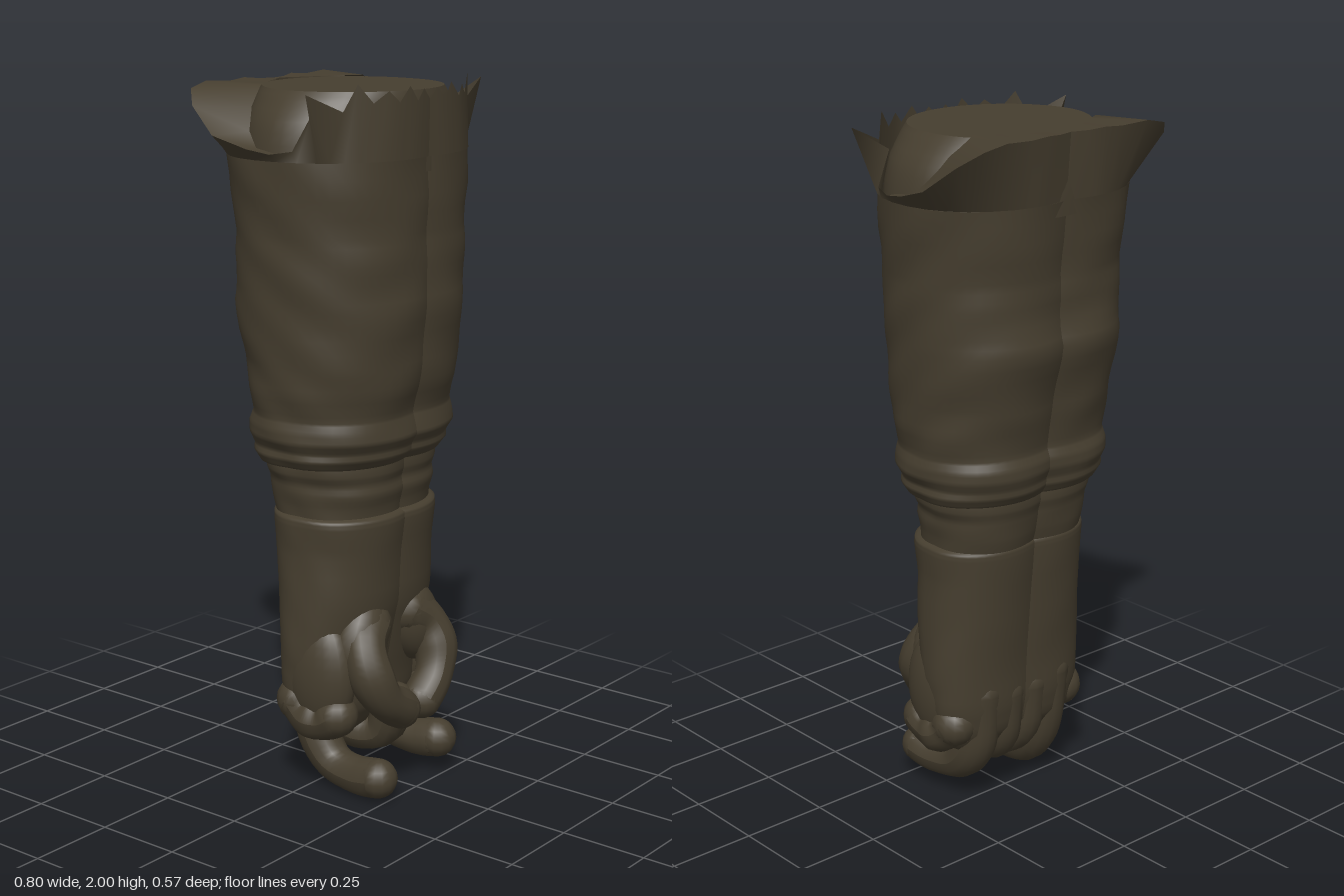
import * as THREE from 'three';
import { mergeGeometries } from 'three/addons/utils/BufferGeometryUtils.js';

const SEG = 48;

// Point on a row [y, half width, front z, back z] of one arm, shifted off centre by cx
function ringPoint([y, w, zf, zb], a, cx, wrinkle = 0) {
  const fold = 1 + wrinkle * Math.sin(y * 34 + 2.2 * Math.sin(a * 2) + a) * Math.sin(a * 3 + y * 5);
  const rx = (w - cx) * fold, rz = (zf - zb) / 2 * fold;
  const back = Math.max(0, -Math.sin(a)) * 0.025;
  return [cx + back + rx * Math.cos(a), y, (zf + zb) / 2 + rz * Math.sin(a)];
}

// Resample the rows in height
function refine(rows, n) {
  const out = [];
  for (let i = 0; i < rows.length - 1; i++) {
    for (let k = 0; k < n; k++) out.push(rows[i].map((v, j) => THREE.MathUtils.lerp(v, rows[i + 1][j], k / n)));
  }
  out.push(rows[rows.length - 1]);
  return out;
}

// Closed-ring loft from the bottom row to the top row, with optional end caps
function loft(rows, cx, wrinkle = 0, caps = [false, false]) {
  const pos = [], idx = [];
  rows.forEach(r => {
    for (let i = 0; i < SEG; i++) pos.push(...ringPoint(r, i / SEG * Math.PI * 2, cx, wrinkle));
  });
  for (let j = 0; j < rows.length - 1; j++) {
    for (let i = 0; i < SEG; i++) {
      const a = j * SEG + i, b = j * SEG + (i + 1) % SEG;
      idx.push(a, a + SEG, b, b, a + SEG, b + SEG);
    }
  }
  [0, rows.length - 1].forEach((j, end) => {
    if (!caps[end]) return;
    const [y, , zf, zb] = rows[j], c = pos.length / 3;
    // the cap has its own ring so its edge stays sharp
    pos.push(cx, y, (zf + zb) / 2);
    for (let i = 0; i < SEG; i++) pos.push(...ringPoint(rows[j], i / SEG * Math.PI * 2, cx, wrinkle));
    for (let i = 0; i < SEG; i++) {
      const a = c + 1 + i, b = c + 1 + (i + 1) % SEG;
      if (end) idx.push(c, b, a); else idx.push(c, a, b);
    }
  });
  return build(pos, idx);
}

function build(pos, idx) {
  const g = new THREE.BufferGeometry();
  g.setAttribute('position', new THREE.Float32BufferAttribute(pos, 3));
  g.setIndex(idx);
  g.computeVertexNormals();
  return g;
}

// Mirror in x, keeping faces outward
function mirror(g) {
  const m = g.clone().scale(-1, 1, 1), ix = m.index.array;
  for (let i = 0; i < ix.length; i += 3) [ix[i], ix[i + 1]] = [ix[i + 1], ix[i]];
  m.computeVertexNormals();
  return m;
}

// Rounded pad of flesh
function pad(size, tilt, at) {
  return new THREE.SphereGeometry(1, 24, 16).scale(...size).rotateZ(tilt).translate(...at);
}

// Bent finger with round ends, from radius r0 to r1, slightly swollen at the joints
function finger(points, r0, r1) {
  const curve = new THREE.CatmullRomCurve3(points.map(p => new THREE.Vector3(...p)));
  const radius = t => THREE.MathUtils.lerp(r0, r1, t) * (1 + 0.05 * Math.cos(t * 13));
  const tube = new THREE.TubeGeometry(curve, 20, 1, 14);
  const p = tube.attributes.position, v = new THREE.Vector3();
  for (let i = 0; i < p.count; i++) {
    const t = Math.floor(i / 15) / 20, c = curve.getPointAt(t);
    v.fromBufferAttribute(p, i).sub(c).multiplyScalar(radius(t)).add(c);
    p.setXYZ(i, v.x, v.y, v.z);
  }
  tube.computeVertexNormals();
  const ends = [0, 1].map(t => {
    const c = curve.getPointAt(t);
    return new THREE.SphereGeometry(radius(t), 14, 10).translate(c.x, c.y, c.z);
  });
  return mergeGeometries([tube, ...ends]);
}

// Rows: [y, half width, front z, back z]
const handRows = [
  [0.14, 0.12, 0.06, 0.0], [0.18, 0.19, 0.1, -0.05], [0.24, 0.235, 0.13, -0.085], [0.32, 0.257, 0.14, -0.1],
  [0.42, 0.264, 0.16, -0.102], [0.55, 0.26, 0.19, -0.115], [0.7, 0.252, 0.2, -0.13],
  [0.79, 0.258, 0.212, -0.14], [0.81, 0.256, 0.21, -0.14], [0.82, 0.235, 0.185, -0.13]];
const wristRows = [
  [0.78, 0.24, 0.19, -0.13], [0.84, 0.243, 0.195, -0.145], [0.88, 0.25, 0.205, -0.15],
  [0.91, 0.25, 0.2, -0.155], [0.94, 0.265, 0.21, -0.165], [0.99, 0.265, 0.21, -0.165]];
const sleeveRows = [
  [0.955, 0.25, 0.19, -0.15], [0.965, 0.29, 0.215, -0.175], [0.99, 0.305, 0.235, -0.19], [1.01, 0.3, 0.235, -0.19],
  [1.04, 0.316, 0.25, -0.2], [1.07, 0.314, 0.245, -0.2], [1.1, 0.305, 0.24, -0.19], [1.17, 0.32, 0.258, -0.2],
  [1.25, 0.322, 0.268, -0.215], [1.4, 0.333, 0.283, -0.252], [1.5, 0.337, 0.28, -0.235],
  [1.6, 0.342, 0.28, -0.238], [1.8, 0.36, 0.283, -0.258]];
const stumpRows = [
  [1.76, 0.355, 0.275, -0.25], [1.84, 0.345, 0.275, -0.25], [1.9, 0.325, 0.27, -0.245],
  [1.95, 0.285, 0.265, -0.24], [1.975, 0.26, 0.26, -0.235]];

// Torn rim, front to back: [angle on the sleeve in degrees, x, y, z]
const tornRim = [
  [106, 0, 1.95, 0.277], [98, 0.03, 1.98, 0.28], [92, 0.06, 1.95, 0.283], [85, 0.09, 1.99, 0.28], [78, 0.13, 1.95, 0.277],
  [70, 0.16, 1.98, 0.265], [62, 0.2, 1.95, 0.245], [54, 0.24, 2.0, 0.225], [46, 0.27, 1.93, 0.2],
  [38, 0.385, 1.98, 0.17], [31, 0.3, 1.92, 0.12], [20, 0.355, 1.83, 0.1], [6, 0.375, 1.82, 0.04],
  [-8, 0.385, 1.83, -0.03], [-22, 0.4, 1.86, -0.135], [-34, 0.37, 1.93, -0.23], [-46, 0.32, 1.97, -0.28],
  [-58, 0.25, 1.985, -0.288], [-72, 0.16, 1.98, -0.28], [-82, 0.1, 1.985, -0.283], [-92, 0.05, 1.98, -0.268],
  [-108, 0, 1.98, -0.255]];

// Inner edge [x, y, z] of the lining, matching the last rim points
const liningEdge = [
  [0.35, 1.82, 0.04], [0.345, 1.83, -0.03], [0.325, 1.87, -0.07], [0.28, 1.93, -0.1], [0.22, 1.98, -0.12],
  [0.17, 1.98, -0.15], [0.11, 1.98, -0.185], [0.07, 1.98, -0.205], [0.03, 1.98, -0.225], [0, 1.98, -0.24]];

// Open strip between two rows of points
function strip(a, b) {
  const pos = [], idx = [];
  a.forEach((p, i) => {
    pos.push(...p, ...b[i]);
    if (i) idx.push(2 * i, 2 * i - 2, 2 * i - 1, 2 * i, 2 * i - 1, 2 * i + 1);
  });
  return build(pos, idx);
}

export function createModel() {
  const cloth = new THREE.MeshStandardMaterial({ color: 0x463e2f, side: THREE.DoubleSide });
  cloth.name = 'dark olive brown';
  const model = new THREE.Group();
  model.name = 'pairedForearms';

  // Parts of one arm, mirrored for the other
  const rimTop = tornRim.map(p => p.slice(1));
  const rimBase = tornRim.map(([deg]) => ringPoint(sleeveRows.at(-1), deg * Math.PI / 180, 0.07));
  const parts = {
    hand: loft(refine(handRows, 3), 0.06, 0.006, [true, false]),
    wrist: loft(refine(wristRows, 3), 0.06, 0.012),
    sleeve: loft(refine(sleeveRows, 4), 0.07, 0.014),
    tornRim: strip(rimBase, rimTop),
    tornLining: strip(rimTop.slice(-liningEdge.length), liningEdge),
    thumbPad: pad([0.088, 0.13, 0.075], 0.35, [0.122, 0.45, 0.14]),
    fistSide: pad([0.07, 0.17, 0.115], 0, [0.197, 0.36, 0.06]),
    outerFinger: finger([[0.205, 0.27, -0.01], [0.212, 0.235, 0.03], [0.21, 0.23, 0.09],
      [0.205, 0.25, 0.125]], 0.062, 0.058),
  };
  for (const [side, flip] of [['left', false], ['right', true]]) {
    const arm = new THREE.Group();
    arm.name = side + 'Arm';
    const add = (name, g) => {
      const mesh = new THREE.Mesh(flip ? mirror(g) : g, cloth);
      mesh.name = name;
      arm.add(mesh);
    };
    Object.entries(parts).forEach(([name, g]) => add(name, g));

    // Thumb and curled fingers; one hand hangs a little lower
    const d = flip ? -0.035 : 0;
    add('thumb', finger([[0.09, 0.49, 0.14], [0.14, 0.45, 0.17], [0.153, 0.38, 0.2],
      [0.12, 0.3, 0.22], [flip ? 0.03 : 0.07, 0.24, 0.215]], 0.068, 0.055));
    add('longFinger', finger([[0.13, 0.36, -0.04], [0.13, 0.2, -0.025], [0.13, 0.11 + d, 0.05],
      [0.135, 0.09 + d, 0.15], [0.14, 0.1 + d, 0.22]], 0.06, 0.054));
    add('innerFinger', finger([[0.045, 0.34, -0.04], [0.04, 0.2, -0.025], [0.025, 0.14, 0.05],
      [0.01, 0.15, 0.13], [0.01, 0.24, 0.17]], 0.06, 0.052));
    model.add(arm);
  }

  // Closed stump inside the torn sleeve
  const stump = new THREE.Mesh(loft(refine(stumpRows, 2), 0, 0, [false, true]), cloth);
  stump.name = 'armStump';
  model.add(stump);
  return model;
}
